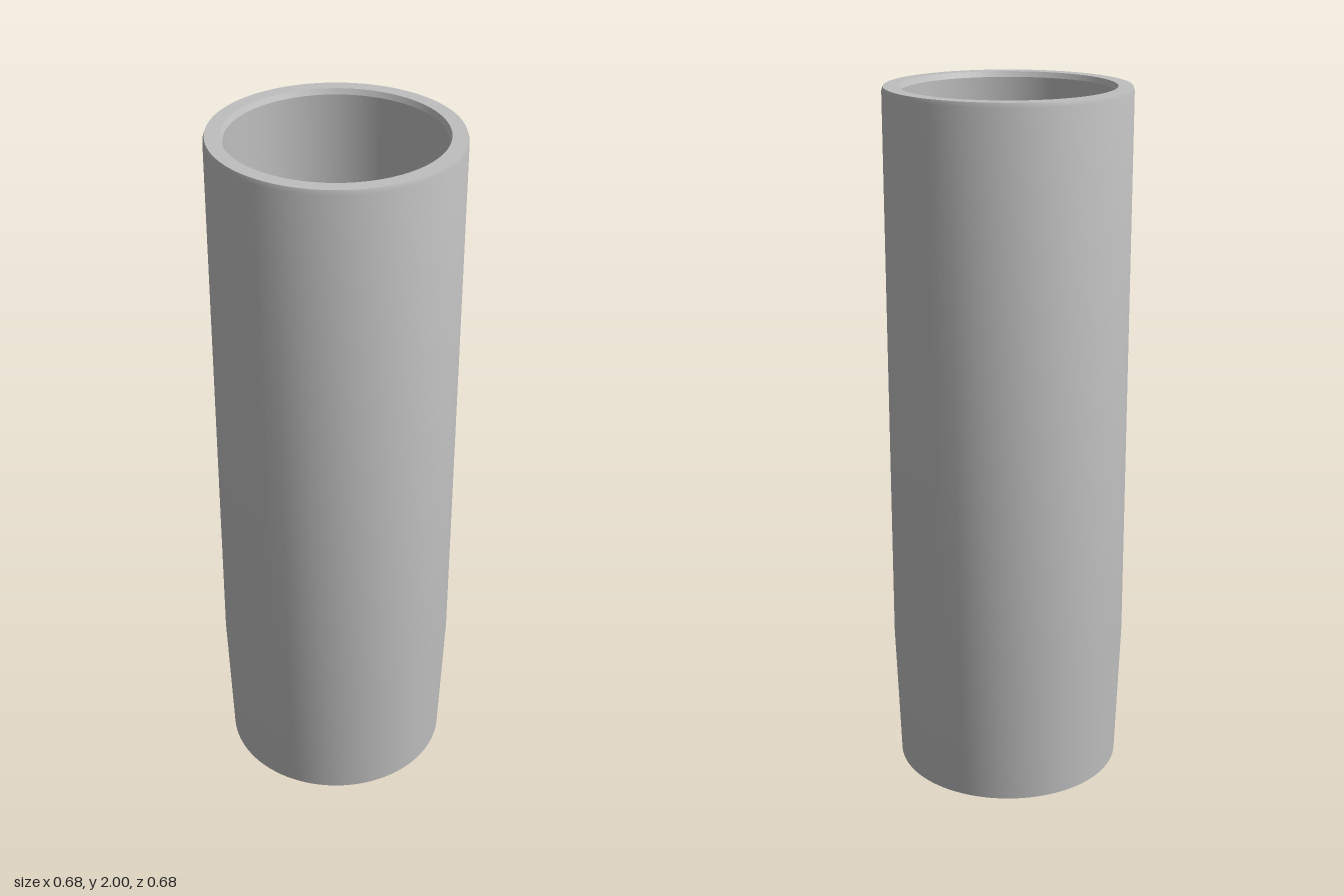
import * as THREE from 'three';
import { toCreasedNormals } from 'three/addons/utils/BufferGeometryUtils.js';

export function createModel() {
  const group = new THREE.Group();
  const steel = new THREE.MeshStandardMaterial({ color: 0xbfbfbf });
  steel.name = 'grey metal';

  // Hollow sleeve: outside going up, chamfered rim, then inside going down
  const profile = [
    [0.325, 0], [0.34, 0.4], [0.34, 1.988], [0.336, 2],
    [0.296, 2], [0.289, 1.985], [0.289, 0.4], [0.278, 0], [0.325, 0],
  ].map(([r, y]) => new THREE.Vector2(r, y));
  const sleeve = new THREE.Mesh(
    toCreasedNormals(new THREE.LatheGeometry(profile, 96), Math.PI / 9), steel);
  sleeve.name = 'sleeve';
  group.add(sleeve);

  // Two locking pins reaching inward from the wall near the lower end
  for (const side of [-1, 1]) {
    const pin = new THREE.Mesh(new THREE.CylinderGeometry(0.041, 0.041, 0.057, 32), steel);
    pin.rotation.z = Math.PI / 2;
    pin.position.set(side * 0.2715, 0.15, 0);
    pin.name = side > 0 ? 'leftPin' : 'rightPin';
    group.add(pin);
  }
  return group;
}
